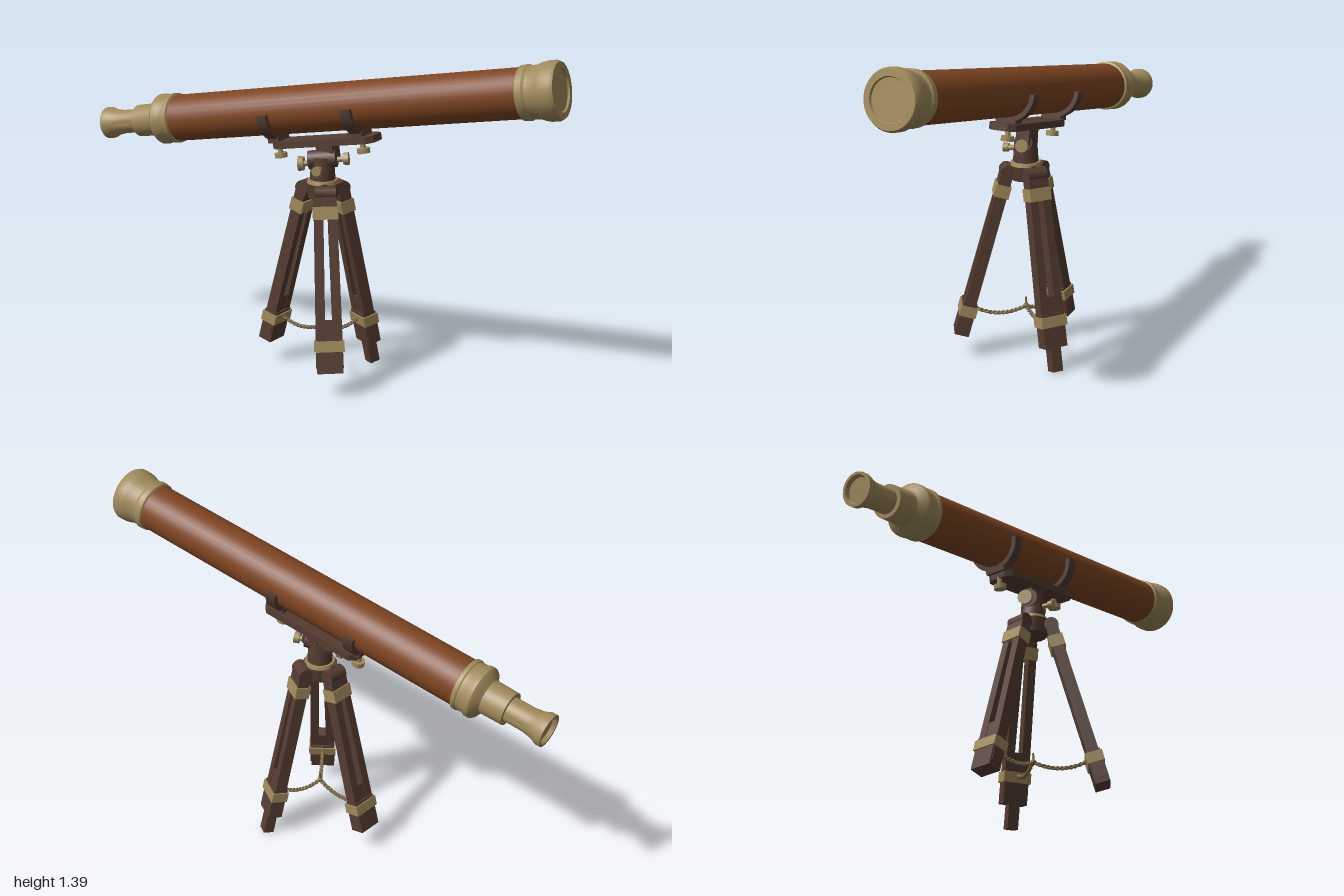
import * as THREE from 'three';
import { toCreasedNormals } from 'three/addons/utils/BufferGeometryUtils.js';

const V = (x, y, z) => new THREE.Vector3(x, y, z);

export function createModel() {
  const model = new THREE.Group();
  model.name = 'telescopeOnTripod';
  const mat = (name, color) => {
    const m = new THREE.MeshStandardMaterial({ color });
    m.name = name;
    return m;
  };
  const leather = mat('leather', 0x7e4521);
  const brass = mat('brass', 0xa08a5a);
  const wood = mat('darkWood', 0x543c31);
  const ropeMat = mat('rope', 0x7c6a43);

  const add = (parent, name, geo, material, x = 0, y = 0, z = 0) => {
    const mesh = new THREE.Mesh(geo, material);
    mesh.name = name;
    mesh.position.set(x, y, z);
    parent.add(mesh);
    return mesh;
  };
  const box = (w, h, d) => new THREE.BoxGeometry(w, h, d);
  const cyl = (r1, r2, h, n = 16) =>
    toCreasedNormals(new THREE.CylinderGeometry(r1, r2, h, n), 0.7);
  // profile of [position along x, radius], turned about the x axis
  const turned = (pts) => {
    const g = new THREE.LatheGeometry(pts.map(([t, r]) => new THREE.Vector2(r, t)), 32);
    return toCreasedNormals(g.rotateZ(-Math.PI / 2), 0.6);
  };
  // cylinder between two points
  const rod = (parent, name, a, b, r1, r2, material) => {
    const d = b.clone().sub(a);
    const mesh = add(parent, name, cyl(r2, r1, d.length()), material);
    mesh.position.copy(a).add(b).multiplyScalar(0.5);
    mesh.quaternion.setFromUnitVectors(V(0, 1, 0), d.normalize());
    return mesh;
  };

  // ---- Telescope: local x runs along the barrel towards the large lens ----
  const scope = new THREE.Group();
  scope.name = 'telescope';
  const ax = V(1, 0.171, -0.339).normalize();
  const az = ax.clone().cross(V(0, 1, 0)).normalize();
  const ay = az.clone().cross(ax);
  scope.quaternion.setFromRotationMatrix(new THREE.Matrix4().makeBasis(ax, ay, az));
  scope.position.set(0, 1.12, 0.011);
  model.add(scope);

  add(scope, 'barrel', turned([[-0.7, 0.097], [0.9, 0.097]]), leather);
  add(scope, 'eyepiece', turned([
    [-1.02, 0], [-1.02, 0.05], [-1.037, 0.056], [-1.037, 0.067], [-1.015, 0.067],
    [-0.99, 0.056], [-0.95, 0.05], [-0.87, 0.05], [-0.87, 0.067], [-0.775, 0.069],
    [-0.765, 0.08], [-0.755, 0.098], [-0.745, 0.106], [-0.725, 0.106], [-0.715, 0.101],
    [-0.69, 0.101], [-0.685, 0.105], [-0.67, 0.105], [-0.665, 0.096],
  ]), brass);
  add(scope, 'lensHood', turned([
    [0.875, 0.096], [0.88, 0.104], [0.905, 0.106], [0.915, 0.1], [0.945, 0.102],
    [0.965, 0.109], [0.985, 0.113], [1.015, 0.113], [1.028, 0.106], [1.028, 0.082],
    [1.02, 0.078], [1.02, 0],
  ]), brass);

  // Saddle plate with clipped corners
  const plateShape = new THREE.Shape([
    [-0.21, -0.035], [-0.185, -0.06], [0.225, -0.06], [0.25, -0.035],
    [0.25, 0.035], [0.225, 0.06], [-0.185, 0.06], [-0.21, 0.035],
  ].map(([x, y]) => new THREE.Vector2(x, y)));
  const plate = new THREE.ExtrudeGeometry(plateShape, { depth: 0.028, bevelEnabled: false });
  add(scope, 'saddlePlate', plate.rotateX(Math.PI / 2), wood, 0, -0.12, 0);

  // Half-ring straps, cradle blocks and thumbscrews
  const ring = new THREE.Shape();
  ring.absarc(0, 0, 0.116, Math.PI, 2 * Math.PI, false);
  ring.absarc(0, 0, 0.094, 2 * Math.PI, Math.PI, true);
  for (const t of [-0.2, 0.18]) {
    const g = new THREE.ExtrudeGeometry(ring, { depth: 0.045, bevelEnabled: false, curveSegments: 20 });
    add(scope, 'strap', toCreasedNormals(g.translate(0, 0, -0.0225).rotateY(Math.PI / 2), 0.6), wood, t, 0, 0);
    add(scope, 'cradleBlock', box(0.05, 0.026, 0.09), wood, t, -0.112, 0);
    add(scope, 'thumbscrewStem', cyl(0.011, 0.011, 0.04), brass, t, -0.16, 0);
    add(scope, 'thumbscrew', cyl(0.026, 0.026, 0.02, 12), brass, t, -0.183, 0);
  }
  add(scope, 'tiltHead', box(0.075, 0.07, 0.06), wood, 0.02, -0.18, 0);

  // ---- Hub ----
  const hx = 0.035, hz = 0.015;
  const hub = new THREE.Group();
  hub.name = 'hub';
  hub.position.set(hx, 0, hz);
  model.add(hub);
  add(hub, 'hubDisc', cyl(0.07, 0.06, 0.06), wood, 0, 0.79, 0);
  add(hub, 'hubRing', cyl(0.06, 0.064, 0.016, 24), brass, 0, 0.827, 0);
  add(hub, 'post', cyl(0.046, 0.052, 0.095), wood, 0, 0.88, 0);
  rod(hub, 'tiltBarrel', V(-0.045, 0.91, 0.034), V(0.045, 0.925, -0.034), 0.038, 0.038, wood);
  const knob = (a, b, r) => {
    rod(hub, 'knobStem', a, b, 0.011, 0.011, brass);
    const tip = b.clone().add(b.clone().sub(a).normalize().multiplyScalar(0.022));
    rod(hub, 'knob', b, tip, r * 0.9, r, brass);
  };
  knob(V(0, 0.9, 0), V(-0.062, 0.895, 0.045), 0.031);
  knob(V(0, 0.91, 0), V(0.066, 0.92, -0.052), 0.026);
  knob(V(0, 0.885, 0), V(0.036, 0.885, 0.062), 0.019);

  // ---- Legs: angle around the hub, radius at the foot, extension length ----
  const ropeCentre = V(hx, 0.21, hz);
  const legs = [
    { name: 'rightLeg', angle: 168, foot: 0.265, extension: 0 },
    { name: 'leftLeg', angle: 37, foot: 0.272, extension: 0 },
    { name: 'backLeg', angle: -77, foot: 0.225, extension: 0.1 },
  ];
  for (const { name, angle, foot, extension } of legs) {
    const a = THREE.MathUtils.degToRad(angle);
    const out = V(Math.cos(a), 0, Math.sin(a));
    const bottom = V(hx, 0.105, hz).addScaledVector(out, foot);
    const top = V(hx, 0.8, hz).addScaledVector(out, 0.075);
    const up = top.clone().sub(bottom);
    const len = up.length();
    up.normalize();
    const side = V(out.z, 0, -out.x);
    const leg = new THREE.Group();
    leg.name = name;
    leg.position.copy(bottom);
    leg.quaternion.setFromRotationMatrix(
      new THREE.Matrix4().makeBasis(side, up, side.clone().cross(up)));
    model.add(leg);

    // paired rails leaning together towards the top
    for (const s of [-1, 1]) {
      const rail = box(0.034, len - 0.06, 0.048);
      const p = rail.attributes.position;
      for (let i = 0; i < p.count; i++) p.setX(i, p.getX(i) + s * (p.getY(i) > 0 ? 0.027 : 0.036));
      rail.computeVertexNormals();
      add(leg, 'rail', rail, wood, 0, (len - 0.06) / 2 + 0.02, 0);
    }
    add(leg, 'footBlock', box(0.1, 0.14, 0.06), wood, 0, 0.07, 0);
    add(leg, 'innerBlock', box(0.06, 0.08, 0.044), wood, 0, 0.17, 0);
    add(leg, 'lowerBand', box(0.115, 0.044, 0.07), brass, 0, 0.108, 0);
    add(leg, 'upperBand', box(0.096, 0.052, 0.062), brass, 0, len - 0.085, 0);
    add(leg, 'topBlock', box(0.085, 0.07, 0.05), wood, 0, len - 0.035, 0);
    add(leg, 'hinge', cyl(0.03, 0.03, 0.085).rotateZ(Math.PI / 2), wood, 0, len - 0.006, 0);
    if (extension) {
      add(leg, 'footExtension', box(0.046, extension + 0.05, 0.044), wood, 0, 0.025 - extension / 2, 0);
    }
    rod(model, 'hubArm', V(hx, 0.795, hz), top, 0.028, 0.028, wood);

    // sagging two-strand rope from the band to the centre
    const start = bottom.clone().addScaledVector(up, 0.108).addScaledVector(out, -0.03);
    for (const phase of [0, Math.PI]) {
      const pts = [];
      for (let i = 0; i <= 48; i++) {
        const t = i / 48, w = t * Math.PI * 12 + phase;
        pts.push(start.clone().lerp(ropeCentre, t)
          .addScaledVector(side, 0.004 * Math.cos(w))
          .add(V(0, 0.004 * Math.sin(w) - 0.11 * t * (1 - t), 0)));
      }
      add(model, 'rope', new THREE.TubeGeometry(new THREE.CatmullRomCurve3(pts), 72, 0.005, 6), ropeMat);
    }
  }
  add(model, 'ropeKnot', new THREE.SphereGeometry(0.012, 10, 8), ropeMat, hx, 0.21, hz);
  add(model, 'ropeHook', cyl(0.004, 0.006, 0.04, 8), ropeMat, hx, 0.228, hz);

  return model;
}
